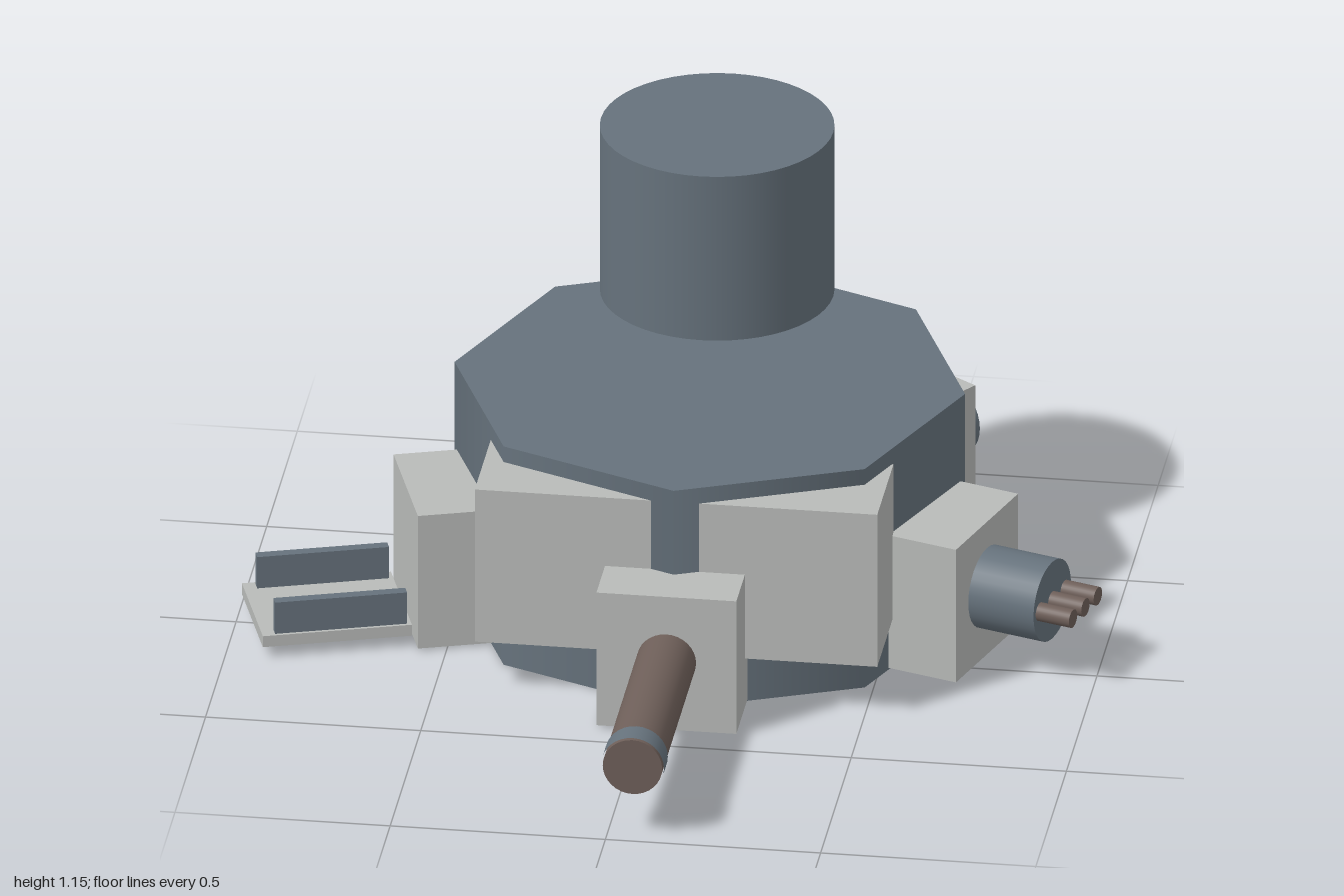
import * as THREE from 'three';

const material = (name, color) => {
  const m = new THREE.MeshStandardMaterial({ color });
  m.name = name;
  return m;
};

export function createModel() {
  const slate = material('slate blue', 0x66727c);
  const grey = material('light grey', 0xb9bbb9);
  const brown = material('dull brown', 0x6e5f59);

  const model = new THREE.Group();
  model.name = 'turretBase';
  // Everything is arranged around the hull's vertical axis
  const hub = new THREE.Group();
  hub.name = 'hub';
  hub.position.set(0.06, 0, -0.285);
  model.add(hub);

  const add = (parent, name, geometry, mat, x = 0, y = 0, z = 0) => {
    const mesh = new THREE.Mesh(geometry, mat);
    mesh.name = name;
    mesh.position.set(x, y, z);
    parent.add(mesh);
    return mesh;
  };
  const box = (parent, name, w, h, d, mat, x, y, z) =>
    add(parent, name, new THREE.BoxGeometry(w, h, d), mat, x, y, z);
  // Cylinder lying along z, from z0 to z1
  const rod = (parent, name, r, z0, z1, mat, x = 0, y = 0.18, open = false) =>
    add(parent, name,
      new THREE.CylinderGeometry(r, r, z1 - z0, 32, 1, open).rotateX(Math.PI / 2),
      mat, x, y, (z0 + z1) / 2);

  // Octagonal hull, floating drum and wide front block
  add(hub, 'hull', new THREE.CylinderGeometry(0.593, 0.593, 0.56, 8), slate, 0, 0.28, 0);
  add(hub, 'drum', new THREE.CylinderGeometry(0.27, 0.27, 0.42, 48), slate, 0, 0.94, -0.12);
  box(hub, 'frontBlock', 0.935, 0.39, 0.265, grey, 0.0025, 0.325, 0.4375);

  // Five mounts at equal angles; local +z points outwards
  const mount = (name, step) => {
    const g = new THREE.Group();
    g.name = name;
    g.rotation.y = (step * Math.PI * 2) / 5;
    hub.add(g);
    box(g, 'mountBlock', 0.325, 0.34, 0.325, grey, 0, 0.175, 0.5475);
    return g;
  };

  // Front: long barrel with a muzzle band
  const cannon = mount('cannonMount', 0);
  rod(cannon, 'barrel', 0.069, 0.6, 1.265, brown);
  rod(cannon, 'muzzleBand', 0.073, 1.2, 1.262, slate, 0, 0.18, true).material = slate;

  // Left: stubby housing with three thin barrels
  const gun = mount('tripleGunMount', 1);
  rod(gun, 'gunHousing', 0.098, 0.65, 0.877, slate);
  for (const x of [-0.065, 0, 0.065]) rod(gun, 'thinBarrel', 0.022, 0.8, 0.962, brown, x);

  // Rear pair: nozzles with a recessed face
  const profile = [[0.09, 0], [0.09, 0.15], [0.09, 0.15], [0.068, 0.15],
    [0.068, 0.15], [0.068, 0.125], [0.068, 0.125], [0, 0.125]]
    .map(([r, h]) => new THREE.Vector2(r, h));
  for (const step of [2, 3]) {
    const nozzle = mount('nozzleMount', step);
    add(nozzle, 'nozzle', new THREE.LatheGeometry(profile, 32).rotateX(Math.PI / 2),
      slate, 0, 0.177, 0.65);
  }

  // Right: loading ramp with two side rails
  const ramp = mount('rampMount', 4);
  box(ramp, 'rampPlate', 0.28, 0.028, 0.348, grey, 0, 0.042, 0.894);
  for (const side of [-1, 1])
    box(ramp, 'rampRail', 0.025, 0.082, 0.308, slate, side * 0.12, 0.095, 0.884);

  return model;
}
